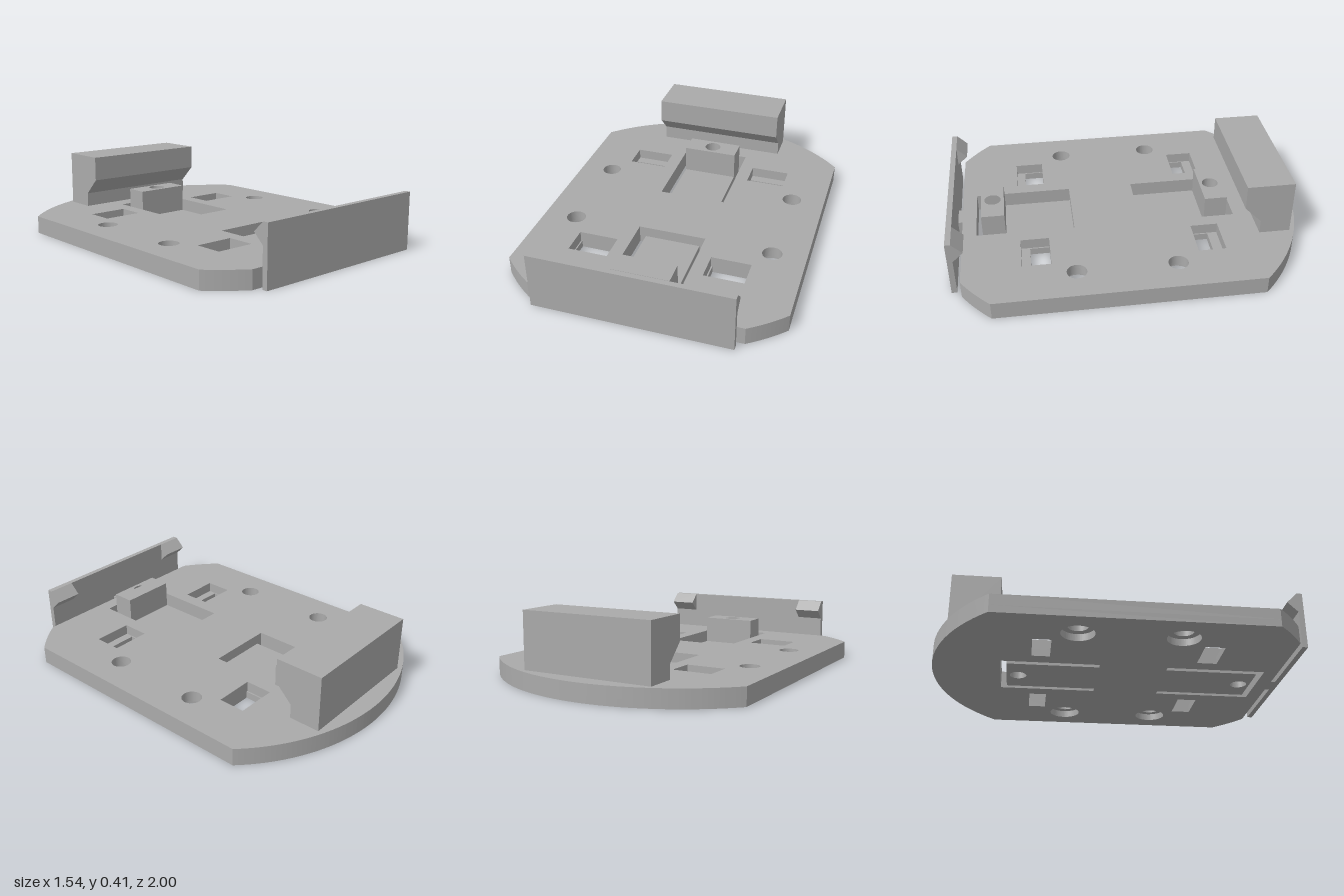
import * as THREE from 'three';

const STEP = 0.04;   // height of the lower layer, tongues and pocket ledges
const TOP = 0.1;     // plate thickness

// Plan coordinates are (x, z); shapes are drawn with y = -z and then laid flat.
function polygon(points, Type = THREE.Shape) {
  return new Type(points.map(([x, z]) => new THREE.Vector2(x, -z)));
}
const rect = (x0, x1, z0, z1, Type = THREE.Path) =>
  polygon([[x0, z0], [x1, z0], [x1, z1], [x0, z1]], Type);
const circle = (x, z, r) => new THREE.Path().absarc(x, -z, r, 0, Math.PI * 2, true);

function slab(shape, y0, y1) {
  return new THREE.ExtrudeGeometry(shape, { depth: y1 - y0, bevelEnabled: false, curveSegments: 32 })
    .rotateX(-Math.PI / 2).translate(0, y0, 0);
}

// Side profile of (z, y) points, extruded from x0 to x1
function profile(points, x0, x1) {
  const shape = new THREE.Shape(points.map(([z, y]) => new THREE.Vector2(z, y)));
  return new THREE.ExtrudeGeometry(shape, { depth: x1 - x0, bevelEnabled: false })
    .rotateY(-Math.PI / 2).translate(x1, 0, 0);
}

// Circle with flat sides and a flat front carrying a small joining tab
function outline() {
  const R = 1.06, cy = -0.06, side = Math.acos(0.77 / R), front = Math.asin(0.885 / R);
  const s = new THREE.Shape();
  s.moveTo(0.06, -0.97);
  s.lineTo(0.06, -0.945);
  s.absarc(0, cy, R, -front, -side, false);
  s.absarc(0, cy, R, side, Math.PI - side, false);
  s.absarc(0, cy, R, Math.PI + side, Math.PI + front, false);
  s.lineTo(-0.06, -0.945);
  s.lineTo(-0.06, -0.97);
  s.closePath();
  return s;
}

export function createModel() {
  const model = new THREE.Group();
  model.name = 'mountingPlate';
  const grey = new THREE.MeshStandardMaterial({ color: 0xaaaaaa });
  grey.name = 'grey';
  const add = (name, geometry) => {
    const mesh = new THREE.Mesh(geometry, grey);
    mesh.name = name;
    model.add(mesh);
  };

  // root, tip and far opening edge of each spring tongue, with its block and hole
  const tongues = [
    { name: 'backTongueBlock', root: -0.07, tip: -0.585, end: -0.62, inner: -0.455, hole: -0.52 },
    { name: 'frontTongueBlock', root: 0.31, tip: 0.83, end: 0.865, inner: 0.7, hole: 0.765 },
  ];

  const lower = outline(), upper = outline();
  for (const t of tongues) {
    // U-shaped slot below, full opening above
    lower.holes.push(polygon([
      [-0.195, t.root], [-0.195, t.end], [0.195, t.end], [0.195, t.root],
      [0.16, t.root], [0.16, t.tip], [-0.16, t.tip], [-0.16, t.root],
    ], THREE.Path));
    lower.holes.push(circle(0, t.hole, 0.047));
    upper.holes.push(rect(-0.195, 0.195, t.root, t.end));

    // raised block at the tongue tip
    const block = rect(-0.16, 0.16, t.inner, t.tip, THREE.Shape);
    block.holes.push(circle(0, t.hole, 0.047));
    add(t.name, slab(block, STEP, 0.2));
  }

  for (const s of [-1, 1]) {
    // screw holes, counterbored from underneath
    for (const z of [-0.22, 0.33]) {
      lower.holes.push(circle(s * 0.58, z, 0.09));
      upper.holes.push(circle(s * 0.58, z, 0.055));
    }
    // stepped windows
    for (const [z0, z1, p0, p1] of [[-0.45, -0.35, -0.505, -0.35], [0.46, 0.57, 0.46, 0.62]]) {
      lower.holes.push(rect(s * 0.28, s * 0.49, z0, z1));
      upper.holes.push(rect(s * 0.272, s * 0.497, p0, p1));
    }
  }
  add('plateLower', slab(lower, 0, STEP));
  add('plateUpper', slab(upper, STEP, TOP));

  // Overhanging stop at the back
  add('backStop', profile([
    [-0.9, TOP], [-0.725, TOP], [-0.725, 0.18], [-0.63, 0.275], [-0.63, 0.415], [-0.9, 0.415],
  ], -0.385, 0.385));

  // Front clip wall with a hook at each end
  add('clipWall', profile([[0.97, 0], [1, 0], [1, 0.322], [0.97, 0.322]], -0.545, 0.545));
  for (const [name, x0, x1] of [['leftHook', 0.39, 0.545], ['rightHook', -0.545, -0.39]]) {
    add(name, profile([[0.97, 0.21], [0.97, 0.322], [0.912, 0.265]], x0, x1));
  }
  return model;
}
